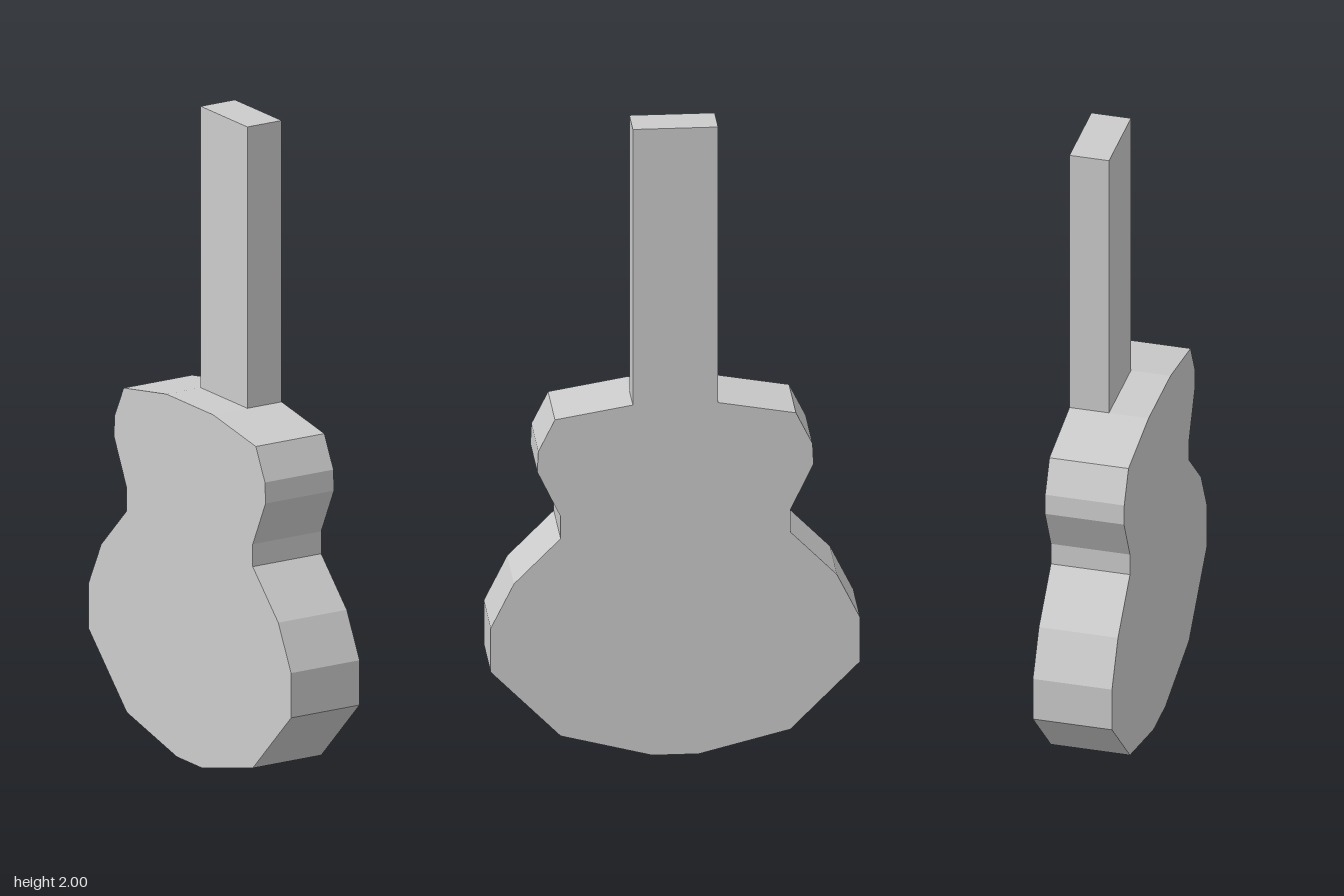
import * as THREE from 'three';

const material = new THREE.MeshStandardMaterial({ color: 0xcccccc, flatShading: true });
const HALF_DEPTH = 0.1225;

// Half outline of the body from bottom to neck joint: [z, y]
const halfOutline = [
  [0.07, 0], [0.345, 0.07], [0.555, 0.28], [0.555, 0.42], [0.485, 0.56], [0.345, 0.7],
  [0.345, 0.77], [0.415, 0.915], [0.412, 0.98], [0.362, 1.08], [0.128, 1.12],
];

export function createModel() {
  const group = new THREE.Group();
  group.name = 'guitar';

  // Body: mirrored outline extruded through its thickness, then turned to face sideways
  const mirrored = halfOutline.map(([z, y]) => [-z, y]).reverse();
  const shape = new THREE.Shape([...halfOutline, ...mirrored].map(([z, y]) => new THREE.Vector2(z, y)));
  const bodyGeometry = new THREE.ExtrudeGeometry(shape, { depth: 2 * HALF_DEPTH, bevelEnabled: false });
  bodyGeometry.translate(0, 0, -HALF_DEPTH).rotateY(-Math.PI / 2);
  const body = new THREE.Mesh(bodyGeometry, material);
  body.name = 'body';
  group.add(body);

  // Neck: half as thick as the body, flush with its +x face
  const neck = new THREE.Mesh(new THREE.BoxGeometry(HALF_DEPTH, 0.88, 0.256), material);
  neck.name = 'neck';
  neck.position.set(HALF_DEPTH / 2, 1.56, 0);
  group.add(neck);

  return group;
}
